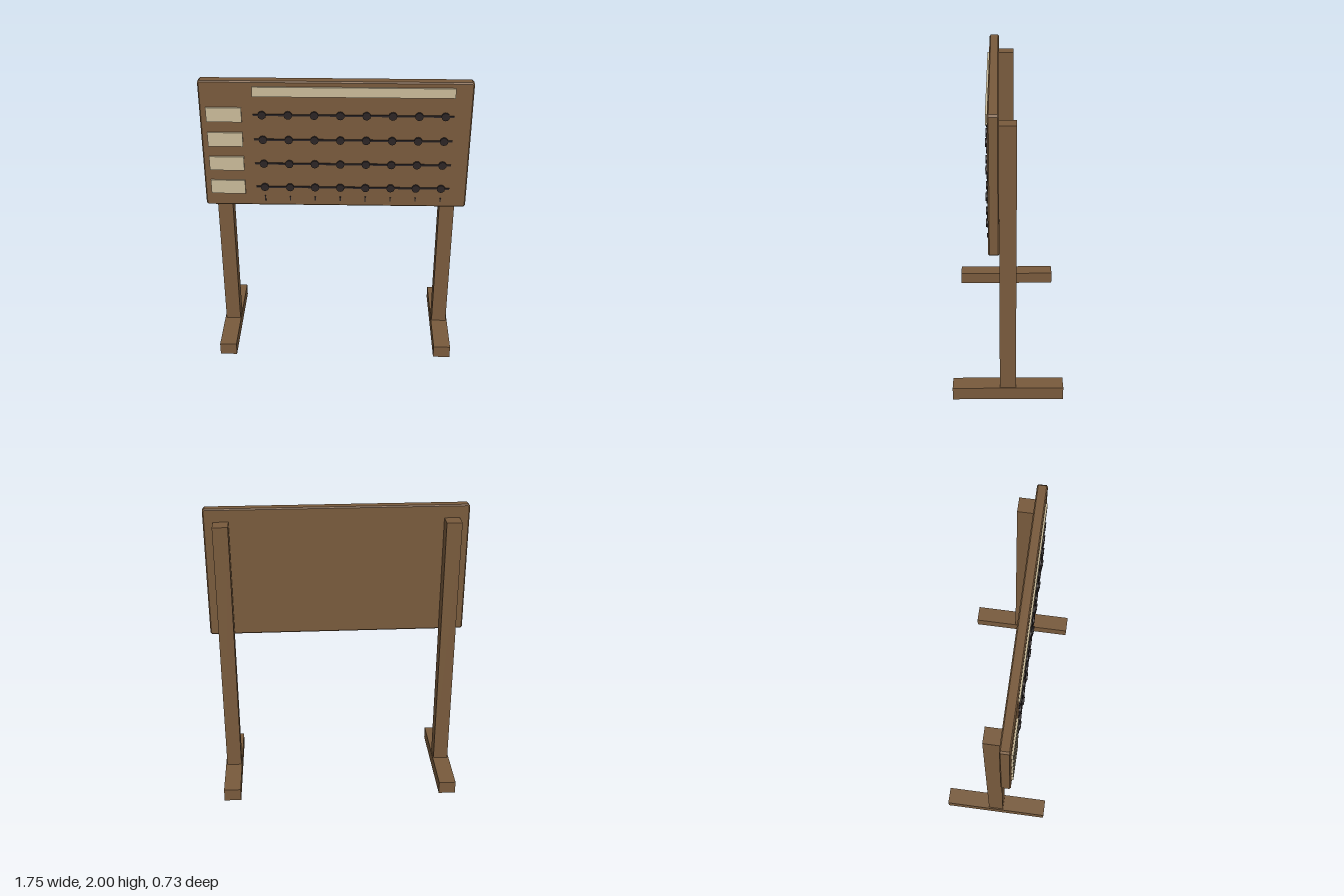
import * as THREE from 'three';

export function createModel() {
  const model = new THREE.Group();
  model.name = 'noticeBoard';

  const wood = new THREE.MeshStandardMaterial({ name: 'brown wood', color: 0x785a3c });
  const card = new THREE.MeshStandardMaterial({ name: 'cream card', color: 0xc8b998 });
  const iron = new THREE.MeshStandardMaterial({ name: 'dark iron', color: 0x2b2424 });

  const add = (name, geometry, material, x, y, z) => {
    const mesh = new THREE.Mesh(geometry, material);
    mesh.name = name;
    mesh.position.set(x, y, z);
    model.add(mesh);
    return mesh;
  };
  const box = (name, material, w, h, d, x, y, z) =>
    add(name, new THREE.BoxGeometry(w, h, d), material, x, y, z);

  // Two posts, each on a long foot
  for (const side of [-1, 1]) {
    const label = side > 0 ? 'left' : 'right';
    box(label + 'Foot', wood, 0.116, 0.088, 0.726, side * 0.759, 0.044, 0);
    box(label + 'Post', wood, 0.102, 1.824, 0.105, side * 0.757, 1.0, 0.001);
  }

  // Board with small chamfers on all edges
  const c = 0.008, W = 0.873, H = 0.45;
  const w = W - c, h = H - c;
  const outline = new THREE.Shape([
    [-w + c, -h], [w - c, -h], [w, -h + c], [w, h - c],
    [w - c, h], [-w + c, h], [-w, h - c], [-w, -h + c],
  ].map(([x, y]) => new THREE.Vector2(x, y)));
  const board = new THREE.ExtrudeGeometry(outline, {
    depth: 0.068 - 2 * c, bevelThickness: c, bevelSize: c, bevelSegments: 1,
  });
  add('board', board, wood, 0, 1.55, 0.053 + c);

  // Header plate across the top
  const front = 0.121;
  box('headerPlate', card, 1.287, 0.066, 0.012, 0.114, 1.932, front + 0.006);

  // Four rows: a label plate, a rod and eight round knobs
  const columnX = (i) => -0.472 + i * 0.1677;
  const knob = new THREE.CylinderGeometry(0.027, 0.027, 0.014, 12).rotateX(Math.PI / 2);
  for (let row = 0; row < 4; row++) {
    const y = 1.77 - row * 0.1755;
    box('rowPlate', card, 0.228, 0.1, 0.012, -0.717, y + 0.001, front + 0.006);
    box('rowRod', iron, 1.287, 0.011, 0.008, 0.114, y, front + 0.004);
    for (let i = 0; i < 8; i++) add('knob', knob, iron, columnX(i), y, front + 0.007);
  }

  // Short column marks under the bottom row
  for (let i = 0; i < 8; i++) {
    const tall = i % 4 === 0 ? 0.038 : 0.028;
    box('columnMark', iron, 0.008, tall, 0.008, columnX(i), 1.157, front + 0.004);
  }

  return model;
}
